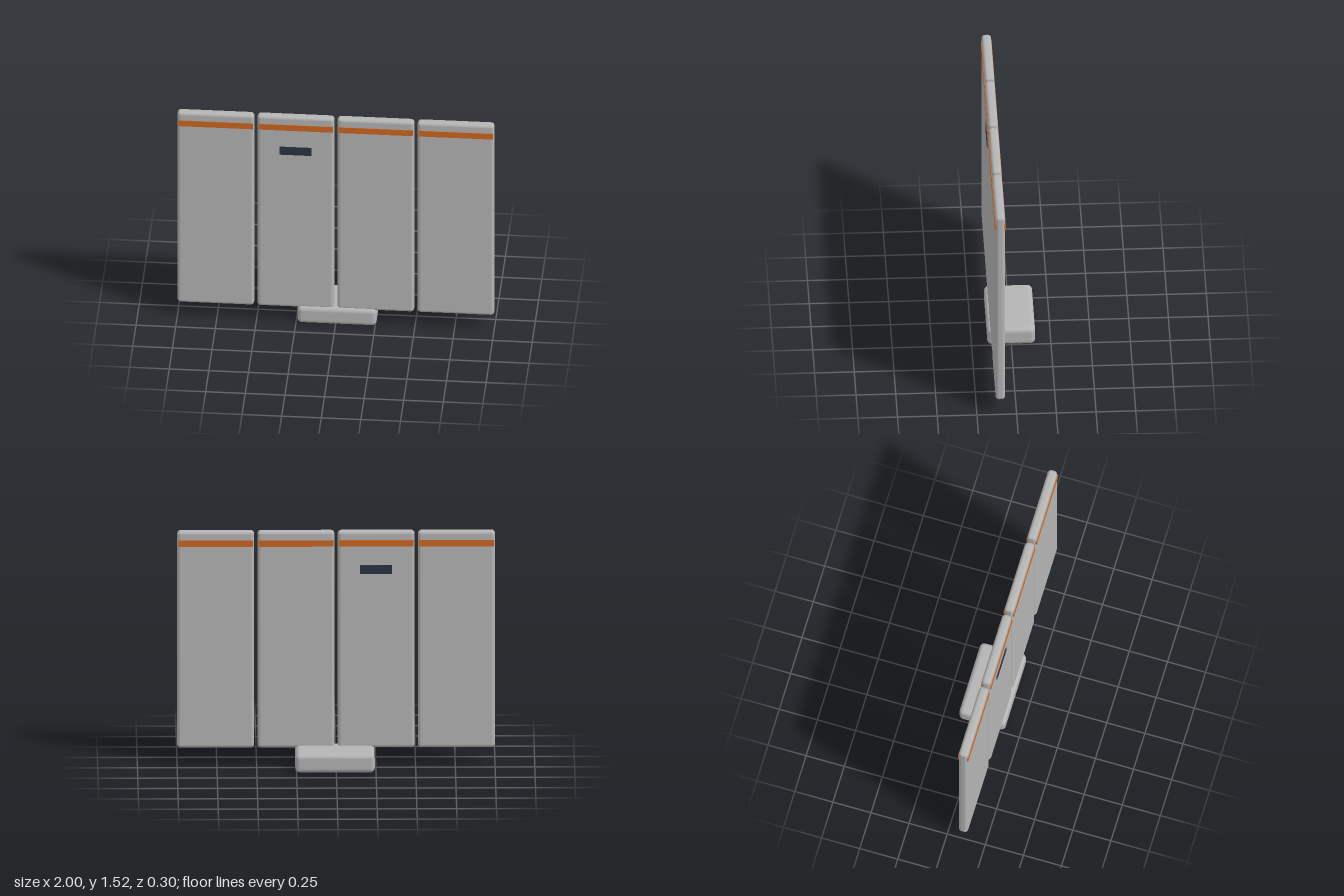
import * as THREE from 'three';
import { RoundedBoxGeometry } from 'three/addons/geometries/RoundedBoxGeometry.js';

const PANEL = { width: 0.484, height: 1.412, depth: 0.06, bottom: 0.106, z: 0.102 };
const PITCH = 0.505;
const TRIM = 0.004; // how far painted details stand off the panel

export function createModel() {
  const model = new THREE.Group();
  const material = (name, color) => {
    const m = new THREE.MeshStandardMaterial({ color });
    m.name = name;
    return m;
  };
  const grey = material('grey', 0xb4b4b4);
  const orange = material('orange', 0xcc6620);
  const darkBlue = material('dark blue', 0x2b3442);

  const add = (name, geometry, mat, x, y, z, parent = model) => {
    const mesh = new THREE.Mesh(geometry, mat);
    mesh.name = name;
    mesh.position.set(x, y, z);
    parent.add(mesh);
  };

  // Thin plates on both faces of a panel
  const addPlates = (name, width, height, mat, y, parent) => {
    for (const side of [1, -1]) {
      const z = PANEL.z + side * (PANEL.depth / 2 + TRIM / 2 - 0.002);
      add(name + (side > 0 ? 'Front' : 'Back'),
        new THREE.BoxGeometry(width, height, TRIM + 0.004), mat, 0, y, z, parent);
    }
  };

  // Row of four panels, each with a stripe near the top
  for (let i = 0; i < 4; i++) {
    const panel = new THREE.Group();
    panel.name = 'panel' + (i + 1);
    panel.position.x = (i - 1.5) * PITCH;
    model.add(panel);
    add('board', new RoundedBoxGeometry(PANEL.width, PANEL.height, PANEL.depth, 4, 0.022),
      grey, 0, PANEL.bottom + PANEL.height / 2, PANEL.z, panel);
    addPlates('stripe', 0.47, 0.041, orange, 1.44, panel);
    if (i === 1) addPlates('display', 0.202, 0.058, darkBlue, 1.269, panel);
  }

  // Foot, set slightly off centre
  add('foot', new RoundedBoxGeometry(0.5, 0.122, 0.302, 4, 0.03), grey, 0.008, 0.061, 0);

  return model;
}
